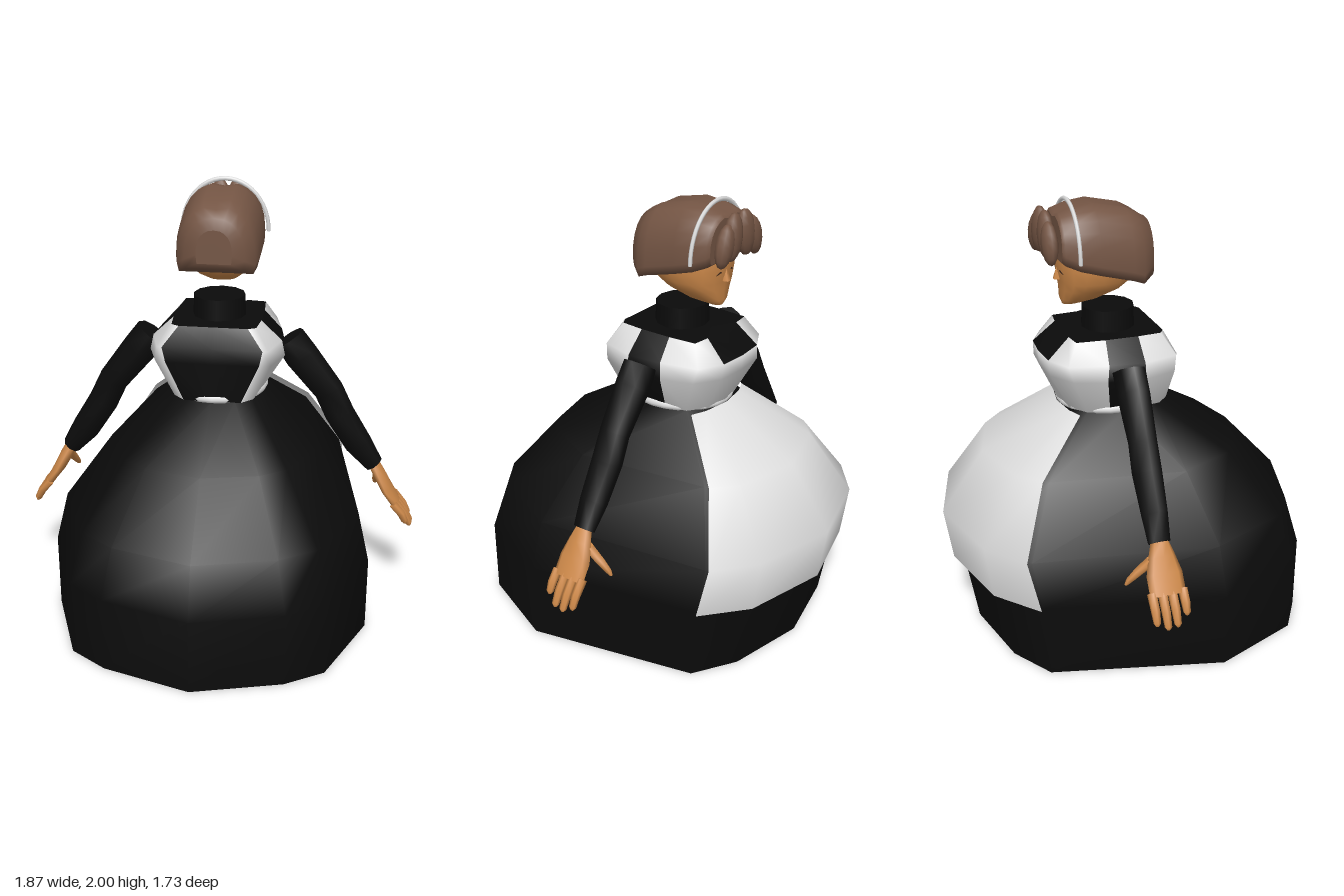
import * as THREE from 'three';

const mat = (name, color) => {
  const m = new THREE.MeshStandardMaterial({ color, side: THREE.DoubleSide });
  m.name = name;
  return m;
};

// Full ring of [x, y, z] from half a ring of [x, z] or [x, y, z] that starts and ends on x = 0
const mirrorRing = (half, y) => {
  const h = half.map(p => (p.length === 3 ? p : [p[0], y, p[1]]));
  return [...h, ...h.slice(1, -1).reverse().map(([x, yy, z]) => [-x, yy, z])];
};

// Skin a list of rings; pick(row, column) gives the material index of a quad
function loft(rings, { closed = true, caps = true, pick = () => 0, capPick = 0 } = {}) {
  const n = rings[0].length, pos = rings.flat(), faces = [[], []];
  for (let r = 0; r < rings.length - 1; r++) {
    for (let i = 0; i < (closed ? n : n - 1); i++) {
      const a = r * n + i, b = r * n + (i + 1) % n;
      faces[pick(r, i)].push([a, b, b + n], [a, b + n, a + n]);
    }
  }
  if (caps) [rings[0], rings[rings.length - 1]].forEach((ring, end) => {
    const base = pos.length;
    pos.push(...ring, [0, 1, 2].map(k => ring.reduce((s, p) => s + p[k], 0) / n));
    for (let i = 0; i < n; i++) {
      const a = base + i, b = base + (i + 1) % n;
      faces[capPick].push(end ? [a, b, base + n] : [b, a, base + n]);
    }
  });
  // Turn the faces outward if the enclosed volume is negative
  const v = pos.map(p => new THREE.Vector3(...p));
  const mid = v.reduce((s, p) => s.add(p), new THREE.Vector3()).divideScalar(v.length);
  const local = v.map(p => p.clone().sub(mid));
  let volume = 0;
  faces.flat().forEach(([a, b, c]) => { volume += local[a].dot(local[b].clone().cross(local[c])); });
  if (volume < 0) faces.flat().forEach(f => f.reverse());
  const g = new THREE.BufferGeometry().setFromPoints(v);
  g.setIndex(faces.flat(2));
  g.addGroup(0, faces[0].length * 3, 0);
  g.addGroup(faces[0].length * 3, faces[1].length * 3, 1);
  g.computeVertexNormals();
  return g;
}

// Limb along points [x, y, z, radius across, radius in z]
function limb(points, side, sides = 8) {
  return loft(points.map(([x, y, z, ra, rz], i) => {
    const p = points[Math.max(i - 1, 0)], q = points[Math.min(i + 1, points.length - 1)];
    const l = Math.hypot(q[0] - p[0], q[1] - p[1]) || 1;
    const nx = (q[1] - p[1]) / l, ny = -(q[0] - p[0]) / l;
    return Array.from({ length: sides }, (_, k) => {
      const t = (k / sides) * Math.PI * 2, c = Math.cos(t) * ra;
      return [side * (x + nx * c), y + ny * c, z + Math.sin(t) * rz];
    });
  }));
}

export function createModel() {
  const model = new THREE.Group();
  const black = mat('blackCloth', 0x0b0b0b), white = mat('whiteCloth', 0xdedede);
  const skin = mat('skin', 0xcc8849), hair = mat('brownHair', 0x745544);
  const dark = mat('lashBrown', 0x3a2418);
  const add = (name, geometry, material, parent = model) => {
    const m = new THREE.Mesh(geometry, material);
    m.name = name;
    parent.add(m);
    return m;
  };

  // Wide bell skirt
  const skirt = [
    [0, [0, .865], [.4, .75], [.57, .64], [.735, .24], [.55, -.52], [.36, -.64], [0, -.72]],
    [.35, [0, .865], [.4, .75], [.57, .64], [.735, .24], [.56, -.55], [.37, -.7], [0, -.78]],
    [.58, [0, .79], [.36, .69], [.52, .58], [.68, .22], [.55, -.59], [.37, -.73], [0, -.82]],
    [.86, [0, .53], [.25, .47], [.36, .39], [.475, .14], [.38, -.46], [.27, -.55], [0, -.63]],
    [1.07, [0, .18], [.1, .15], [.17, .1], [.21, -.05], [.18, -.22], [.12, -.26], [0, -.28]],
  ];
  add('skirt', loft(skirt.map(([y, ...half]) => mirrorRing(half, y))), black);

  // Apron panel over the skirt
  const apron = [
    [.345, [.575, -.56], [.385, -.725], [0, -.825]],
    [.59, [.565, -.615], [.385, -.76], [0, -.862]],
    [.87, [.39, -.49], [.29, -.585], [0, -.665]],
    [1.07, [.2, -.26], [.13, -.29], [0, -.31]],
  ];
  add('apron', loft(apron.map(([y, ...h]) => [
    ...h.map(([x, z]) => [x, y, z]), ...h.slice(0, -1).reverse().map(([x, z]) => [-x, y, z]),
  ]), { closed: false, caps: false }), white);

  // Bodice, with the bib and shoulder straps as white faces
  const bodice = [
    [1.07, [0, -.3], [.1, -.28], [.18, -.22], [.2, -.12], [.2, 0], [.18, .12], [.13, .17], [0, .18]],
    [1.25, [0, -.385], [.14, -.375], [.25, -.3], [.295, -.16], [.31, .01], [.26, .16], [.21, .18], [0, .18]],
    [1.32, [0, -.39], [.13, -.38], [.24, -.32], [.28, -.15], [.295, .01], [.25, .17], [.225, .18], [0, .18]],
    [1.41, [0, -.22], [.11, -.28], [.19, -.27], [.2, -.14], [.2, .01], [.19, .12], [.155, .14], [0, .14]],
  ];
  const isWhite = (row, col) => {
    const c = Math.min(col, 13 - col);
    return c === 0 ? +(row < 2) : +[1, 2, 4, 5].includes(c);
  };
  add('bodice', loft(bodice.map(([y, ...half]) => mirrorRing(half, y)), { pick: isWhite }), [black, white]);

  // Waistband and high collar
  const band = add('waistband', new THREE.TorusGeometry(.208, .02, 8, 24).rotateX(Math.PI / 2), white);
  band.scale.z = 1.1;
  band.position.set(0, 1.08, -.06);
  add('collar', new THREE.CylinderGeometry(.118, .122, .12, 12), black).position.set(0, 1.445, -.065);

  // Sleeves and hands
  for (const side of [1, -1]) {
    const arm = new THREE.Group();
    arm.name = side > 0 ? 'leftArm' : 'rightArm';
    model.add(arm);
    add('sleeve', limb([
      [.32, 1.305, -.075, .075, .075], [.38, 1.22, -.075, .08, .075], [.51, 1.055, -.08, .07, .065],
      [.565, .94, -.08, .07, .068], [.66, .79, -.08, .066, .06], [.735, .69, -.085, .045, .05],
    ], side), black, arm);
    add('palm', limb([
      [.735, .695, -.085, .028, .04], [.765, .64, -.085, .03, .06],
      [.8, .575, -.085, .027, .08], [.85, .5, -.085, .02, .08],
    ], side), skin, arm);
    [[-.018, .42], [-.066, .385], [-.11, .38], [-.155, .4]].forEach(([z, y], i) => {
      const tip = .92 - (y - .38) * .6;
      add('finger' + (i + 1), limb([
        [.838, .515, z, .02, .021], [(.838 + tip) / 2 + .012, (.515 + y) / 2, z, .019, .02],
        [tip, y + .012, z, .016, .016], [tip + .003, y, z, .007, .007],
      ], side, 6), skin, arm);
    });
    add('thumb', limb([
      [.76, .635, -.12, .025, .03], [.755, .585, -.175, .022, .028],
      [.748, .545, -.215, .016, .02], [.745, .52, -.235, .008, .008],
    ], side, 6), skin, arm);
  }

  // Face: rows of y, half width, back z, front z
  const face = [
    [1.53, .025, -.2, -.275], [1.555, .07, -.11, -.285], [1.6, .115, -.01, -.285],
    [1.64, .143, .035, -.29], [1.7, .155, .06, -.298], [1.78, .155, .05, -.3], [1.9, .12, 0, -.27],
  ].map(([y, w, back, front]) => Array.from({ length: 16 }, (_, i) => {
    const t = (i / 16) * Math.PI * 2, c = Math.cos(t), s = Math.sin(t);
    return [w * Math.sign(c) * Math.abs(c) ** .8, y, (back + front) / 2 + (back - front) / 2 * Math.sign(s) * Math.abs(s) ** .8];
  }));
  add('face', loft(face), skin);
  const nose = add('nose', new THREE.ConeGeometry(.02, .06, 5), skin);
  nose.position.set(0, 1.675, -.295);
  for (const side of [1, -1]) {
    const lash = [[.035, 1.69, -.292], [.065, 1.68, -.282], [.1, 1.69, -.256]];
    const curve = new THREE.CatmullRomCurve3(lash.map(([x, y, z]) => new THREE.Vector3(side * x, y, z)));
    add('closedEye', new THREE.TubeGeometry(curve, 6, .004, 4), dark);
  }

  // Hair cap: slices of z, half width, bottom y, top y, with a parting in the middle
  const cap = [
    [.117, .08, 1.69, 1.84], [.105, .135, 1.665, 1.89], [.05, .175, 1.635, 1.93], [0, .187, 1.655, 1.957],
    [-.15, .192, 1.695, 1.988], [-.24, .185, 1.72, 1.975], [-.3, .165, 1.745, 1.955], [-.312, .15, 1.755, 1.94],
  ].map(([z, w, bottom, top], row) => {
    const base = bottom + .04;
    const arch = Array.from({ length: 13 }, (_, i) => {
      const t = (i / 12) * Math.PI, c = Math.cos(t);
      const dip = i === 6 && row > 1 ? .016 : 0;
      return [w * Math.sign(c) * Math.abs(c) ** .85, base + (top - base) * Math.sin(t) ** .85 - dip, z];
    });
    return [[w * .95, bottom, z], ...arch, [-w * .95, bottom, z]];
  });
  add('hairCap', loft(cap), hair);

  // Parted fringe of overlapping locks
  for (const side of [1, -1]) {
    [[.047, 1.86, .055, .105, .12], [.105, 1.835, .05, .095, .3]].forEach(([x, y, rx, ry, tilt]) => {
      const lock = add('fringeLock', new THREE.SphereGeometry(1, 10, 8), hair);
      lock.scale.set(rx, ry, .036);
      lock.rotation.z = side * tilt;
      lock.position.set(side * x, y, -.354);
    });
  }

  // Headband
  const headband = add('headband', new THREE.TorusGeometry(.2, .009, 6, 24, Math.PI), white);
  headband.scale.y = 1.18;
  headband.position.set(0, 1.755, -.247);
  return model;
}
